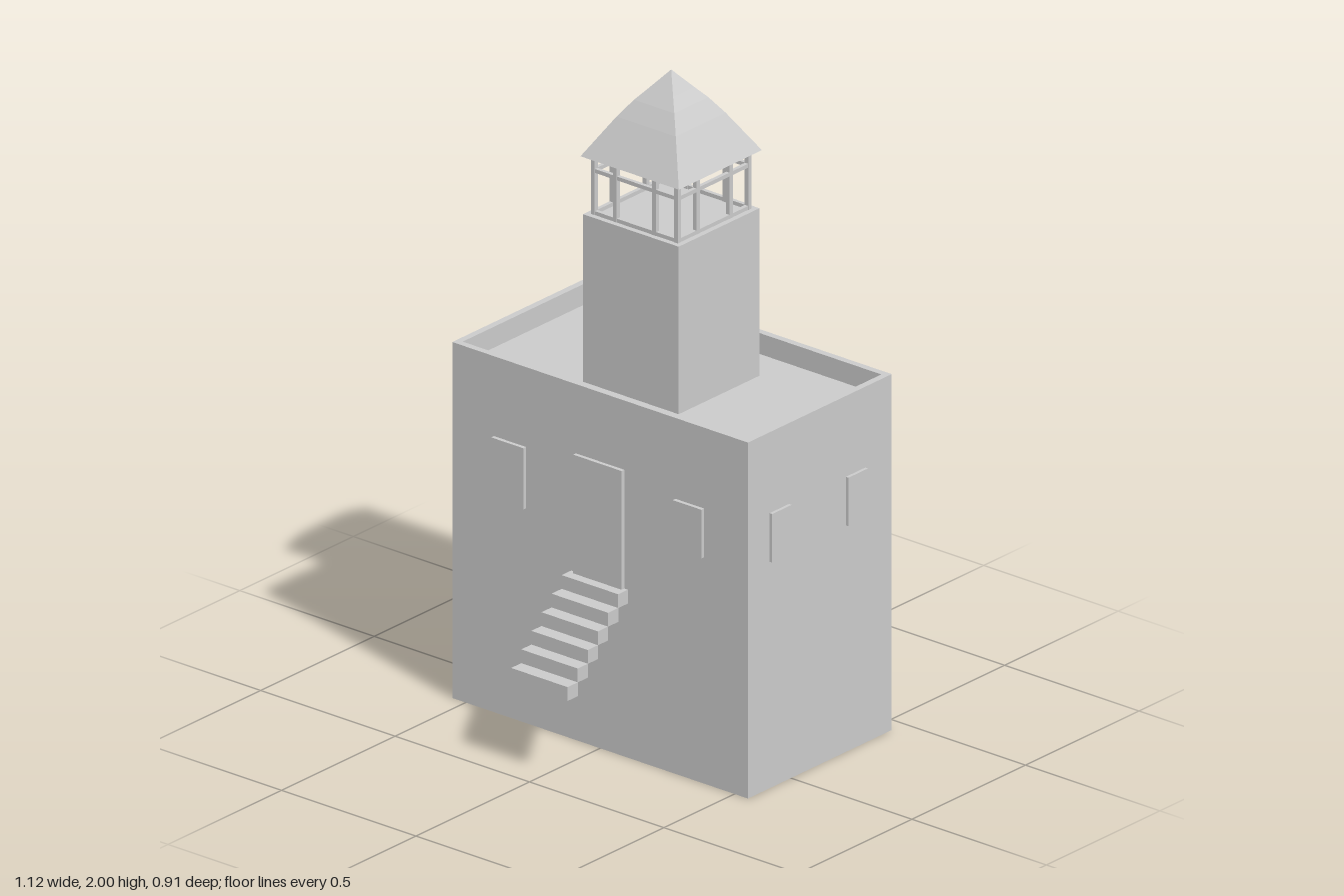
import * as THREE from 'three';

const grey = new THREE.MeshStandardMaterial({ color: 0xcccccc, flatShading: true, side: THREE.DoubleSide });

function add(parent, name, geometry, x = 0, y = 0, z = 0) {
  const mesh = new THREE.Mesh(geometry, grey);
  mesh.name = name;
  mesh.position.set(x, y, z);
  parent.add(mesh);
  return mesh;
}

// Box given by its limits on each axis
function block(parent, name, [x0, x1], [y0, y1], [z0, z1]) {
  return add(parent, name, new THREE.BoxGeometry(x1 - x0, y1 - y0, z1 - z0),
    (x0 + x1) / 2, (y0 + y1) / 2, (z0 + z1) / 2);
}

// Flat-faced shell through rectangular rings [halfWidth, halfDepth, y], listed along the outer surface upwards
function shell(rings) {
  const corners = [[1, 1], [1, -1], [-1, -1], [-1, 1]];
  const pos = [];
  const point = ([w, d, y], i) => [corners[i % 4][0] * w, y, corners[i % 4][1] * d];
  for (let r = 0; r < rings.length - 1; r++) {
    for (let i = 0; i < 4; i++) {
      const a = point(rings[r], i), b = point(rings[r], i + 1);
      const c = point(rings[r + 1], i + 1), d = point(rings[r + 1], i);
      pos.push(...a, ...b, ...c);
      if (rings[r + 1][0] > 0) pos.push(...a, ...c, ...d);
    }
  }
  const g = new THREE.BufferGeometry();
  g.setAttribute('position', new THREE.Float32BufferAttribute(pos, 3));
  g.computeVertexNormals();
  return g;
}

export function createModel() {
  const model = new THREE.Group();
  model.name = 'towerHouse';

  // Main block: open underneath, with a thin parapet around a sunken flat roof
  const W = 0.55, D = 0.3165, top = 1.105, deck = 1.04, bodyZ = -0.1275;
  const front = bodyZ + D, back = bodyZ - D;
  add(model, 'mainBlock', shell([
    [W, D, 0], [W, D, top], [W - 0.021, D - 0.021, top],
    [W - 0.021, D - 0.021, deck], [0, 0, deck],
  ]), 0, 0, bodyZ);

  // Door and windows, raised slightly from the walls
  const proud = 0.012;
  const frontZ = [front - 0.005, front + proud];
  const backZ = [back - proud, back + 0.005];
  block(model, 'door', [-0.09, 0.09], [0.5, 0.89], frontZ);
  block(model, 'frontWindowRight', [-0.395, -0.275], [0.667, 0.857], frontZ);
  block(model, 'frontWindowLeft', [0.28, 0.387], [0.703, 0.854], frontZ);
  for (const x of [-0.395, -0.125, 0.188])
    block(model, 'backWindow', [x, x + 0.122], [0.667, 0.857], backZ);
  for (const z of [[-0.328, -0.242], [0.008, 0.094]]) {
    block(model, 'leftWindow', [W - 0.005, W + 0.01], [0.703, 0.854], z);
    block(model, 'rightWindow', [-W - 0.01, -W + 0.005], [0.703, 0.854], z);
  }

  // Floating steps up to the door
  const steps = new THREE.Group();
  steps.name = 'steps';
  model.add(steps);
  for (let i = 0; i < 6; i++) {
    const y = 0.265 + i * 0.0427, z = 0.454 - i * 0.0445;
    block(steps, 'step', [-0.107, 0.103], [y, y + 0.043], [z - 0.045, z]);
  }

  // Tower with open lookout and roof
  const tower = new THREE.Group();
  tower.name = 'tower';
  tower.position.set(-0.003, 0, bodyZ);
  model.add(tower);
  const T = 0.178, towerTop = 1.56, eaves = 1.74;
  add(tower, 'towerShaft', shell([[T, T, deck], [T, T, towerTop], [0, 0, towerTop]]));

  // Lookout frame: the same posts and rails on each of the four sides
  const P = 0.155, t = 0.014;
  for (let s = 0; s < 4; s++) {
    const side = new THREE.Group();
    side.name = 'lookoutSide';
    side.rotation.y = s * Math.PI / 2;
    tower.add(side);
    for (const x of [-P, -0.073, 0.073])
      add(side, 'post', new THREE.BoxGeometry(t, eaves - towerTop + 0.01, t), x, (eaves + towerTop) / 2, P);
    for (const y of [towerTop + 0.006, 1.697])
      add(side, 'rail', new THREE.BoxGeometry(2 * P, 0.012, 0.012), 0, y, P);
  }

  // Slightly bulging pyramid roof, hollow underneath
  add(tower, 'roof', shell([
    [0.183, 0.183, eaves], [0.11, 0.11, 1.86], [0.075, 0.075, 1.91],
    [0.047, 0.047, 1.943], [0, 0, 2],
  ]));

  return model;
}
